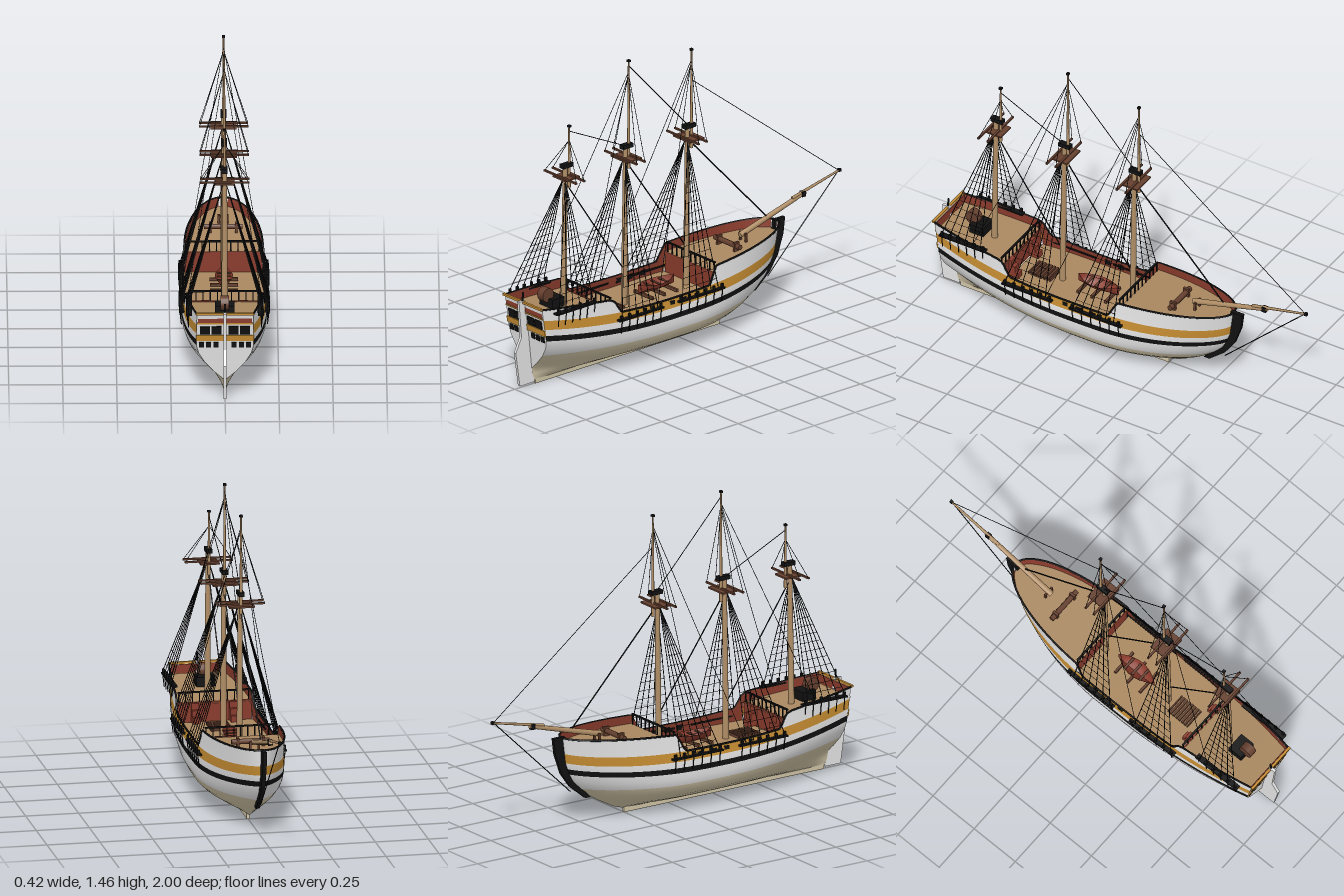
import * as THREE from 'three';
import { mergeGeometries } from 'three/addons/utils/BufferGeometryUtils.js';

const paint = (name, color) => Object.assign(new THREE.MeshStandardMaterial({ color, side: THREE.DoubleSide }), { name });
const white = paint('hull white', 0xe6e6e6), cream = paint('bottom cream', 0xd2c6a8), black = paint('tar black', 0x111111);
const ochre = paint('ochre band', 0xc98f33), plank = paint('deck planking', 0xa98860), spar = paint('spar wood', 0xb08e66);
const red = paint('bulwark red', 0x8a3b2c), brown = paint('dark wood', 0x66402f);

// ---- hull form: bow at -z, stern at +z ----
const { lerp, clamp, smoothstep } = THREE.MathUtils;
const table = (pts) => (v) => {
  if (v <= pts[0][0]) return pts[0][1];
  for (let i = 1; i < pts.length; i++)
    if (v <= pts[i][0]) return lerp(pts[i - 1][1], pts[i][1], (v - pts[i - 1][0]) / (pts[i][0] - pts[i - 1][0]));
  return pts[pts.length - 1][1];
};
const beam = table([[.02, .008], [.035, .06], [.055, .108], [.08, .15], [.105, .176], [.14, .193], [.18, .2], [.25, .197], [.3, .19], [.4, .18]]);
const transomWidth = table([[.02, .006], [.08, .008], [.1, .04], [.13, .085], [.165, .12], [.2, .133], [.38, .13]]);
const bowZ = table([[.02, -.25], [.03, -.29], [.07, -.37], [.1, -.43], [.14, -.5], [.165, -.54], [.2, -.565], [.25, -.585], [.38, -.6]]);
const sternZ = (h) => .89 + .16 * h;
const sheer = (z) => (z > .2 ? .116 : .075) * (z - .2) ** 2;
const topY = table([[-.65, .43], [-.3, .405], [-.08, .39], [-.055, .35], [-.03, .302], [.5, .302], [.52, .325], [.545, .37], [.57, .385], [.95, .42]]);
const N = 120;
const uAt = (i) => 1 - (1 - i / N) ** 1.5;
const zMid = (u) => lerp(.95, -.6, u);

// point on the starboard or port planking at height h (before sheer) and length u
function hullPoint(h, u, inset = 0, side = 1) {
  const zs = sternZ(h), zb = bowZ(h), z = lerp(zs, zb, u), f = clamp(h / .4, 0, 1);
  const aft = lerp(.1, .4, f), fore = lerp(.1, -.05, f), B = beam(h);
  let w = B;
  if (z > aft) w = lerp(B, transomWidth(h), ((z - aft) / (zs - aft)) ** 2);
  if (z < fore) w = B * Math.max(0, 1 - ((fore - z) / (fore - zb)) ** 2) ** (.5 + .4 * (1 - f));
  return [side * Math.max(0, w - inset), h + sheer(z) * smoothstep(h, .05, .22), z];
}
const atY = (y, u, inset, side) => hullPoint(y - sheer(zMid(u)), u, inset, side);
const topH = (u) => Math.max(.302, topY(zMid(u)) - sheer(zMid(u)));

// surface through equal-length rows of points; mats gives a material per strip
function loft(rows, mats) {
  const g = new THREE.BufferGeometry(), n = rows[0].length, idx = [];
  g.setAttribute('position', new THREE.Float32BufferAttribute(rows.flat(2), 3));
  for (let r = 0; r < rows.length - 1; r++) {
    if (Array.isArray(mats)) g.addGroup(idx.length, (n - 1) * 6, r);
    for (let i = 0; i < n - 1; i++) {
      const a = r * n + i, b = a + n;
      idx.push(a, a + 1, b, a + 1, b + 1, b);
    }
  }
  g.setIndex(idx);
  g.computeVertexNormals();
  return new THREE.Mesh(g, mats);
}

// ---- small part helpers ----
const V = (p) => new THREE.Vector3(...p);
function rodGeo(a, b, r0, r1 = r0, sides = 5) {
  const A = V(a), d = V(b).sub(A), g = new THREE.CylinderGeometry(r1, r0, d.length(), sides);
  g.applyQuaternion(new THREE.Quaternion().setFromUnitVectors(new THREE.Vector3(0, 1, 0), d.clone().normalize()));
  return g.translate(...A.addScaledVector(d, .5).toArray());
}
const boxGeo = (w, h, d, x, y, z) => new THREE.BoxGeometry(w, h, d).translate(x, y, z);
// plate drawn in the z-y plane, centred on x = 0
function sidePlate(pts, t) {
  const g = new THREE.ExtrudeGeometry(new THREE.Shape(pts.map((p) => new THREE.Vector2(...p))), { depth: t, bevelEnabled: false });
  return g.rotateY(-Math.PI / 2).translate(t / 2, 0, 0);
}

export function createModel() {
  const ship = new THREE.Group();
  ship.name = 'sailingShip';
  const put = (name, obj, mat) => {
    const m = obj.isMesh ? obj : new THREE.Mesh(Array.isArray(obj) ? mergeGeometries(obj) : obj, mat);
    m.name = name;
    ship.add(m);
    return m;
  };
  const stations = Array.from({ length: N + 1 }, (_, i) => uAt(i));

  // planking with painted bands
  const levels = [.02, .035, .055, .08, .105, .14, .17, .2, .225, .255, .3];
  const bands = [cream, cream, cream, cream, cream, white, white, black, white, ochre, white, white];
  for (const s of [1, -1]) {
    const rows = levels.map((h) => stations.map((u) => hullPoint(h, u, 0, s)));
    rows.push(stations.map((u) => hullPoint((.3 + topH(u)) / 2, u, 0, s)), stations.map((u) => hullPoint(topH(u), u, 0, s)));
    put('hullSide', loft(rows, bands));
    const line = stations.map((u) => V(hullPoint(topH(u), u, 0, s)));
    put('railCap', new THREE.TubeGeometry(new THREE.CatmullRomCurve3(line), 200, .005, 5), black);
  }

  // transom with windows and trim
  const tRows = [...levels, .35, topH(0)].map((h) => [hullPoint(h, 0, 0, -1), hullPoint(h, 0, 0, 1)]);
  put('transom', loft(tRows, white));
  const sternPlate = (w, h, x, y) => new THREE.BoxGeometry(w, h, .006).rotateX(.15).translate(x, y, .882 + .16 * y);
  put('transomTrim', [sternPlate(.268, .03, 0, .296), sternPlate(.26, .007, 0, .371), boxGeo(.27, .01, .012, 0, .422, .952)], ochre);
  const panes = [];
  for (const s of [1, -1]) {
    for (const x of [.04, .093]) panes.push(sternPlate(.046, .042, s * x, .335));
    for (const x of [.042, .076, .109]) panes.push(sternPlate(.024, .028, s * x, .26));
  }
  put('sternWindows', panes, black);
  put('sternPost', rodGeo([0, .41, .955], [0, .47, .95], .005), black);

  // keel, stem and rudder
  put('keel', boxGeo(.014, .026, 1.13, 0, .013, .315), cream);
  put('stem', sidePlate([[-.585, .43], [-.65, .43], [-.64, .35], [-.605, .25], [-.555, .18], [-.47, .11], [-.44, .11], [-.53, .2], [-.57, .3]], .018), black);
  put('rudder', sidePlate([[.945, .43], [.98, .43], [.965, .25], [1, .18], [.975, .01], [.885, .01]], .014), white);

  // decks and red inner bulwarks
  const decks = [['quarterDeck', .56, .96, (z) => topY(z) - .045], ['mainDeck', -.08, .56, () => .25], ['foreDeck', -.592, -.08, (z) => topY(z) - .04]];
  for (const [name, z0, z1, deckY] of decks) {
    const us = Array.from({ length: 41 }, (_, i) => clamp((.95 - lerp(z1, z0, i / 40)) / 1.55, 0, 1));
    const edge = (s) => us.map((u) => atY(deckY(zMid(u)), u, .005, s));
    put(name, loft([edge(-1), edge(1)], plank));
    for (const s of [1, -1])
      put('innerBulwark', loft([edge(s), us.map((u) => hullPoint(topH(u), u, .005, s))], red));
  }
  put('bulkheads', [boxGeo(.355, .1, .006, 0, .292, .56), boxGeo(.36, .105, .006, 0, .297, -.08)], red);
  put('innerTransom', boxGeo(.25, .05, .004, 0, .392, .941), red);
  const rails = [];
  for (const [z, y] of [[.56, .34], [-.08, .35]]) {
    rails.push(boxGeo(.34, .007, .009, 0, y + .05, z));
    for (let i = -5; i <= 5; i++) rails.push(boxGeo(.005, .05, .005, i * .033, y + .025, z));
  }
  put('breastRails', rails, black);

  // gun ports, channels and chains
  const fittings = [];
  for (const s of [1, -1]) {
    for (const z of [.2, .13, .05]) fittings.push(boxGeo(.008, .026, .028, s * .19, .277, z));
    for (const [x, y, z, len] of [[.197, .278, .03, .28], [.197, .278, .4, .27], [.166, .395, .77, .25]]) {
      fittings.push(boxGeo(.028, .008, len, s * x, y, z));
      for (let i = 0; i < 6; i++) {
        const cz = z + (i / 5 - .5) * (len - .03);
        fittings.push(boxGeo(.01, .022, .012, s * (x + .006), y + .012, cz));
        fittings.push(rodGeo([s * (x + .01), y, cz], [s * (x + .002), y - .065, cz], .0025));
      }
    }
  }
  put('channels', fittings, black);

  // masts: [lower z, foot y, topmast z, topmast head, platform half width, channel x, y, aft z, fore z]
  const masts = [
    ['fore', -.05, .25, -.083, 1.41, .06, .205, .29, .15, -.07],
    ['main', .33, .25, .302, 1.455, .06, .205, .29, .52, .3],
    ['mizzen', .7, .35, .667, 1.225, .045, .175, .41, .88, .67],
  ];
  for (const [name, z, foot, tz, head, pw, cx, cy, za, zf] of masts) {
    put(name + 'Mast', [rodGeo([0, foot, z], [0, 1.03, z - .008], .015, .011, 12), rodGeo([0, .92, tz], [0, head, tz], .008, .004, 10)], spar);
    const mid = (z + tz) / 2;
    put(name + 'Top', [boxGeo(pw * 2, .008, .09, 0, .978, mid), boxGeo(.228, .008, .01, 0, .985, z - .03),
      boxGeo(.228, .008, .01, 0, .985, z + .02)], brown);
    put(name + 'Cap', [boxGeo(.028, .02, .062, 0, 1.035, mid), boxGeo(.014, .01, .014, 0, head, tz)], black);
    const lines = [], hound = [0, .96, z];
    for (const s of [1, -1]) {
      const foots = Array.from({ length: 6 }, (_, i) => [s * cx, cy, lerp(za, zf, i / 5)]);
      const on = (p, t) => p.map((v, k) => lerp(v, k ? hound[k] : s * .01, t));
      for (const p of foots) lines.push(rodGeo(p, on(p, 1), .002));
      for (let t = .06; t < .8; t += .068) lines.push(rodGeo(on(foots[0], t), on(foots[5], t), .0012, .0012, 4));
      for (const dz of [-.03, .02])
        lines.push(rodGeo([s * .112, .985, z + dz], [0, head - .07, tz], .0015));
    }
    put(name + 'Shrouds', lines, black);
  }

  // bowsprit and jib boom
  put('bowsprit', [rodGeo([0, .405, -.38], [0, .515, -.78], .014, .01, 10), rodGeo([0, .505, -.7], [0, .57, -.99], .008, .005, 8)], spar);
  put('bowspritFittings', [boxGeo(.022, .026, .022, 0, .511, -.765), boxGeo(.014, .014, .014, 0, .57, -.99)], black);

  // stays and backstays
  const stays = [
    [[0, 1.26, -.083], [0, .57, -.985], .0017], [[0, .97, -.06], [0, .45, -.55], .0035],
    [[0, 1.43, .302], [0, 1.03, -.07], .002], [[0, .96, .32], [0, .45, -.04], .0032],
    [[0, 1.2, .667], [0, 1.03, .31], .002], [[0, .95, .69], [0, .42, .33], .003],
    [[0, .57, -.985], [0, .155, -.55], .0025],
  ];
  for (const s of [1, -1])
    stays.push([[0, 1.4, .302], [s * .17, .42, .71], .0015], [[0, 1.36, -.083], [s * .2, .29, .3], .0015]);
  put('stays', stays.map(([a, b, r]) => rodGeo(a, b, r)), black);

  // ship's boat on its skids, pointed at both ends
  const boatRows = [0, .35, .7, 1].map((a) => Array.from({ length: 21 }, (_, i) => {
    const t = i / 10 - 1;
    return [.042 * Math.sqrt(a) * (1 - t * t), .27 + .042 * a + .008 * t * t, .135 + .11 * t];
  }));
  put('boat', loft(boatRows, red));
  put('boat', loft(boatRows.map((r) => r.map(([x, y, z]) => [-x, y, z])), red));
  const skids = [.06, .135, .21].map((z) => boxGeo(.13, .014, .012, 0, .265, z));
  for (const z of [.09, .135, .18]) skids.push(boxGeo(.065, .004, .012, 0, .306, z));
  put('boatSkidsAndThwarts', skids, brown);

  // deck furniture
  const grate = [boxGeo(.1, .012, .006, 0, .258, .37), boxGeo(.1, .012, .006, 0, .258, .485)];
  for (let i = 0; i < 6; i++) grate.push(boxGeo(.1, .014, .01, 0, .258, .385 + i * .017));
  put('hatchGrating', grate, brown);
  put('ladders', [1, -1].flatMap((s) => [0, 1, 2].map((i) => boxGeo(.036, .03 * (i + 1), .018, s * .09, .25 + .015 * (i + 1), .515 + i * .018))), red);
  put('windlass', [rodGeo([-.09, .39, -.305], [.09, .39, -.305], .013, .013, 8), ...[1, -1].map((s) => boxGeo(.012, .05, .03, s * .06, .385, -.305))], brown);
  put('bowBitts', [boxGeo(.05, .01, .012, 0, .405, -.4), ...[1, -1].map((s) => boxGeo(.01, .05, .01, s * .02, .39, -.4))], brown);
  put('steeringDrum', rodGeo([-.02, .425, .812], [.02, .425, .812], .034, .034, 16), brown);
  put('companionHatch', boxGeo(.09, .045, .075, 0, .385, .772), black);
  return ship;
}
